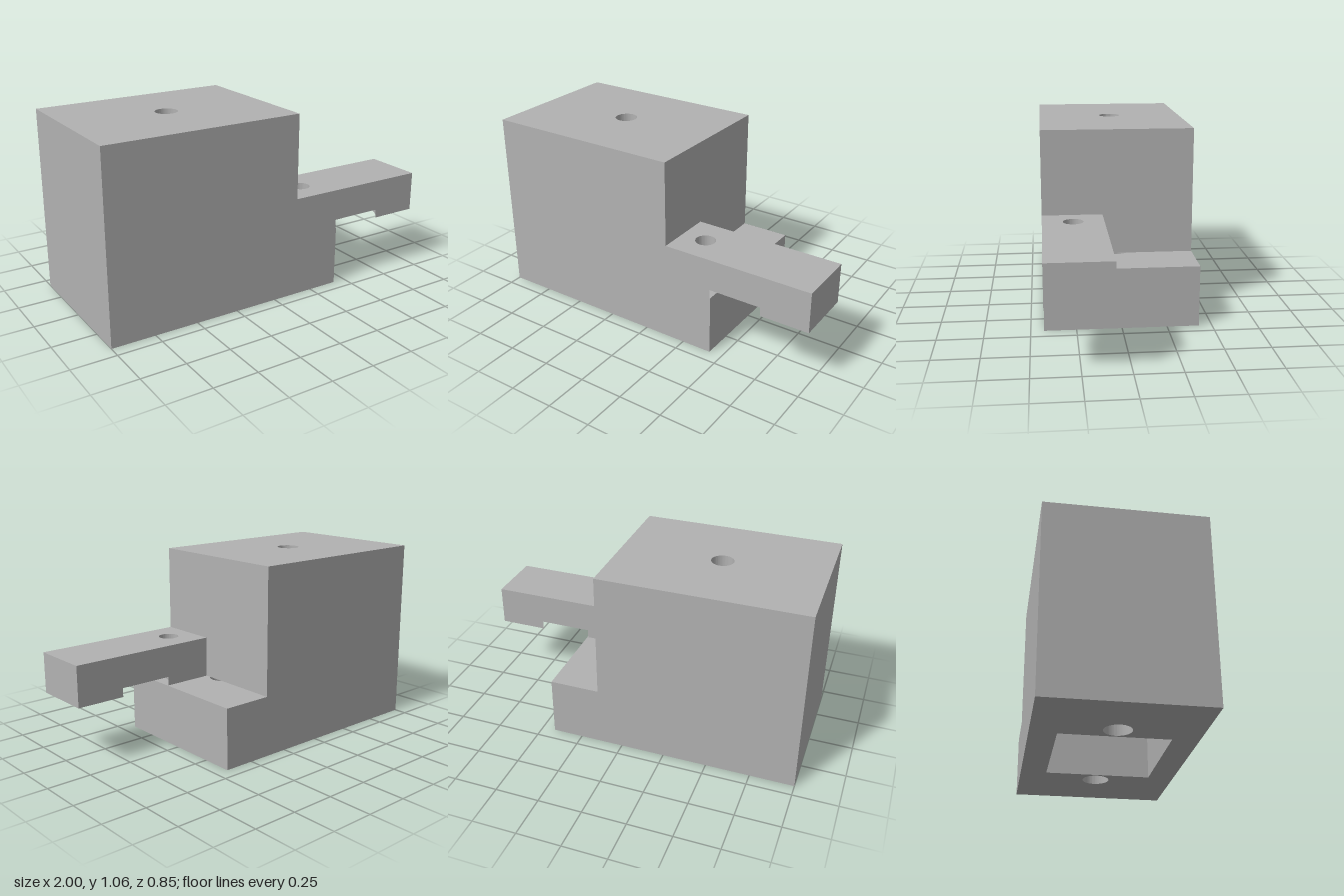
import * as THREE from 'three';
import { toCreasedNormals } from 'three/addons/utils/BufferGeometryUtils.js';

const STEP = 0.345, SLOT = 0.395, LEDGE = 0.575, TOP = 1.057; // heights
const LEFT = -1, BODY = 0.14, BASE = 0.424, TIP = 1;          // x positions
const HALF = 0.427, ARM_Z = 0.085;                            // z positions

// Plan outlines use (x, -z) so that extruding then tipping gives y up.
function rect(x0, x1, z0, z1, Type = THREE.Shape) {
  return new Type([[x0, -z1], [x1, -z1], [x1, -z0], [x0, -z0]].map(p => new THREE.Vector2(...p)));
}

function roundHole(x, z, r) {
  return new THREE.Path().absarc(x, -z, r, 0, Math.PI * 2, true);
}

export function createModel() {
  const model = new THREE.Group();
  model.name = 'steppedBlock';
  const grey = new THREE.MeshStandardMaterial({ color: 0xb2b2b2 });
  grey.name = 'plainGrey';

  function slab(name, shape, y0, y1, holes = []) {
    shape.holes.push(...holes);
    let g = new THREE.ExtrudeGeometry(shape, { depth: y1 - y0, bevelEnabled: false, curveSegments: 40 });
    g.rotateX(-Math.PI / 2);
    g.translate(0, y0, 0);
    g = toCreasedNormals(g, 0.6);
    const mesh = new THREE.Mesh(g, grey);
    mesh.name = name;
    model.add(mesh);
  }

  // Base with a square pocket and two round sockets open underneath
  slab('base', rect(LEFT, BASE, -HALF, HALF), 0, STEP, [
    rect(-0.58, 0.006, -0.287, 0.287, THREE.Path),
    roundHole(0.09, 0, 0.073),
    roundHole(-0.664, 0, 0.073),
  ]);

  // Tall body with a bore running down into the pocket
  slab('body', rect(LEFT, BODY, -HALF, HALF), STEP, TOP, [roundHole(-0.43, 0, 0.0625)]);

  // Arm along the front edge with a blind hole
  const armHole = () => roundHole(0.284, 0.256, 0.0565);
  slab('armUpper', rect(BODY, TIP, ARM_Z, HALF), SLOT, LEDGE, [armHole()]);

  // Underside of the arm, cut away by a shallow round recess
  const cx = 0.571, cz = (ARM_Z + HALF) / 2, r = 0.229;
  const a = Math.asin((HALF - ARM_Z) / 2 / r);
  const root = new THREE.Shape();
  root.moveTo(BODY, -ARM_Z);
  root.lineTo(BODY, -HALF);
  root.absarc(cx, -cz, r, Math.PI + a, Math.PI - a, true);
  root.closePath();
  slab('armRoot', root, STEP, SLOT, [armHole()]);

  const lip = new THREE.Shape();
  lip.moveTo(TIP, -HALF);
  lip.lineTo(TIP, -ARM_Z);
  lip.absarc(cx, -cz, r, a, -a, true);
  lip.closePath();
  slab('armLip', lip, STEP, SLOT);

  return model;
}
